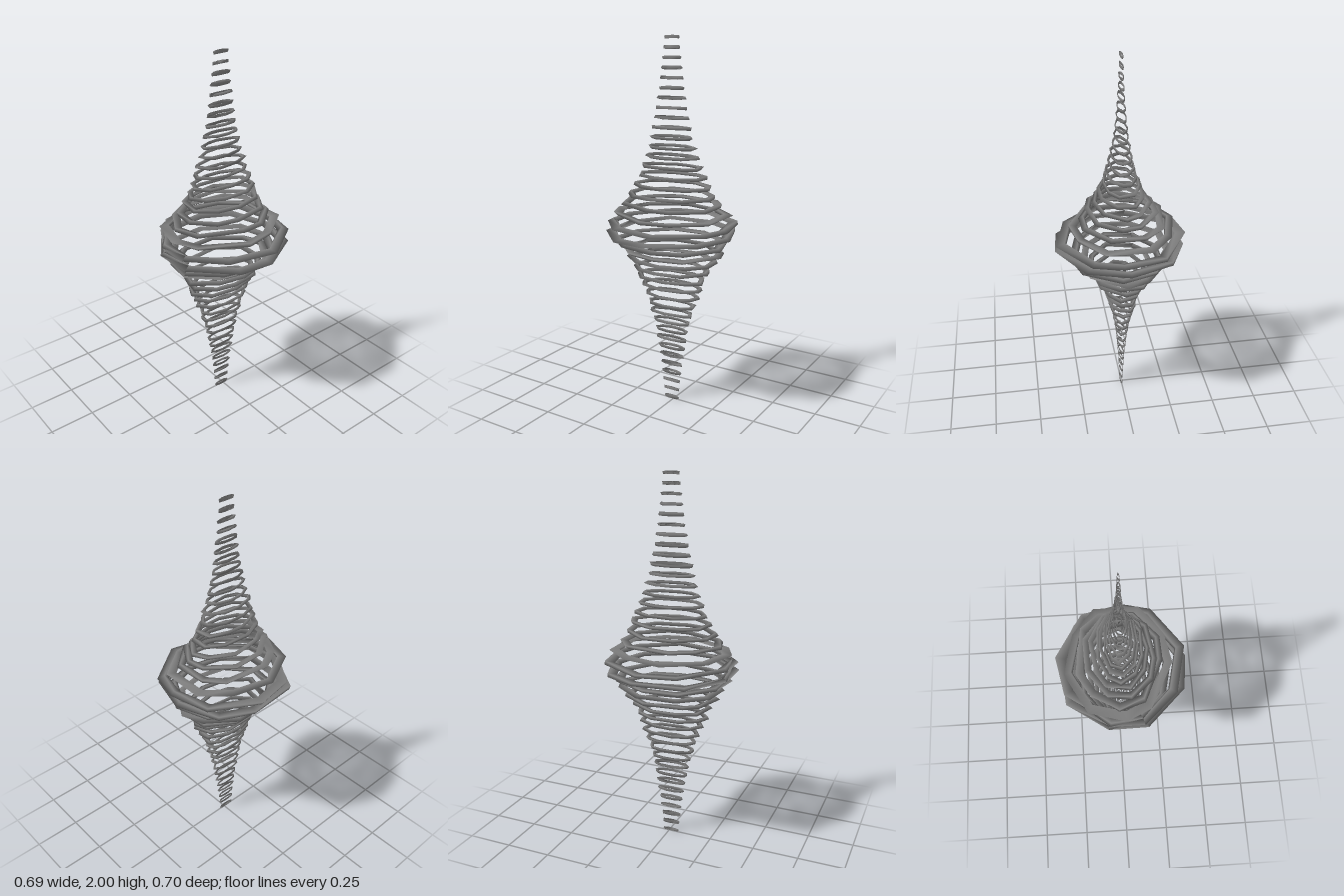
import * as THREE from 'three';

// Small seeded generator, returns -1..1
function seeded(seed) {
  let s = seed;
  return () => {
    s = (s * 16807) % 2147483647;
    return (s / 2147483647) * 2 - 1;
  };
}

const RINGS = 40, SIDES = 9, SECTION = 3;

// Irregular, flat elliptical hoop with a triangular section
function hoopGeometry(rx, rz, rand) {
  const pos = [], index = [];
  const turn = 0.2 + 0.25 * rand();
  const roll = Math.PI * rand();
  const halfHeight = 0.009 + 0.008 * rx;
  for (let j = 0; j < SIDES; j++) {
    const t = (j / SIDES) * Math.PI * 2 + turn + 0.14 * rand();
    const size = 1 + 0.04 * rand();
    for (let k = 0; k < SECTION; k++) {
      const p = (k / SECTION) * Math.PI * 2 + roll + 0.6 * Math.sin(t);
      const r = size * (0.945 + 0.1 * Math.cos(p));
      pos.push(rx * r * Math.cos(t), halfHeight * Math.sin(p), rz * r * Math.sin(t));
      const j2 = (j + 1) % SIDES, k2 = (k + 1) % SECTION;
      const a = j * SECTION + k, b = j * SECTION + k2;
      const c = j2 * SECTION + k, d = j2 * SECTION + k2;
      index.push(a, b, c, b, d, c);
    }
  }
  const g = new THREE.BufferGeometry();
  g.setAttribute('position', new THREE.Float32BufferAttribute(pos, 3));
  g.setIndex(index);
  g.computeVertexNormals();
  return g;
}

export function createModel() {
  const group = new THREE.Group();
  group.name = 'hoopSpindle';
  const material = new THREE.MeshStandardMaterial({ color: 0x808080 });
  const rand = seeded(4127);

  // Stack of hoops, shrinking away from the middle, faster in depth than in width
  for (let i = 0; i < RINGS; i++) {
    const y = 0.01 + (i / (RINGS - 1)) * 1.98;
    const d = Math.abs(y - 1);
    const rx = 0.37 * Math.exp(-2.12 * d);
    const rz = 0.375 * Math.exp(-4 * d);
    const hoop = new THREE.Mesh(hoopGeometry(rx, rz, rand), material);
    hoop.name = 'hoop' + (i + 1);
    hoop.position.set(-0.013, y, 0);
    group.add(hoop);
  }
  return group;
}
